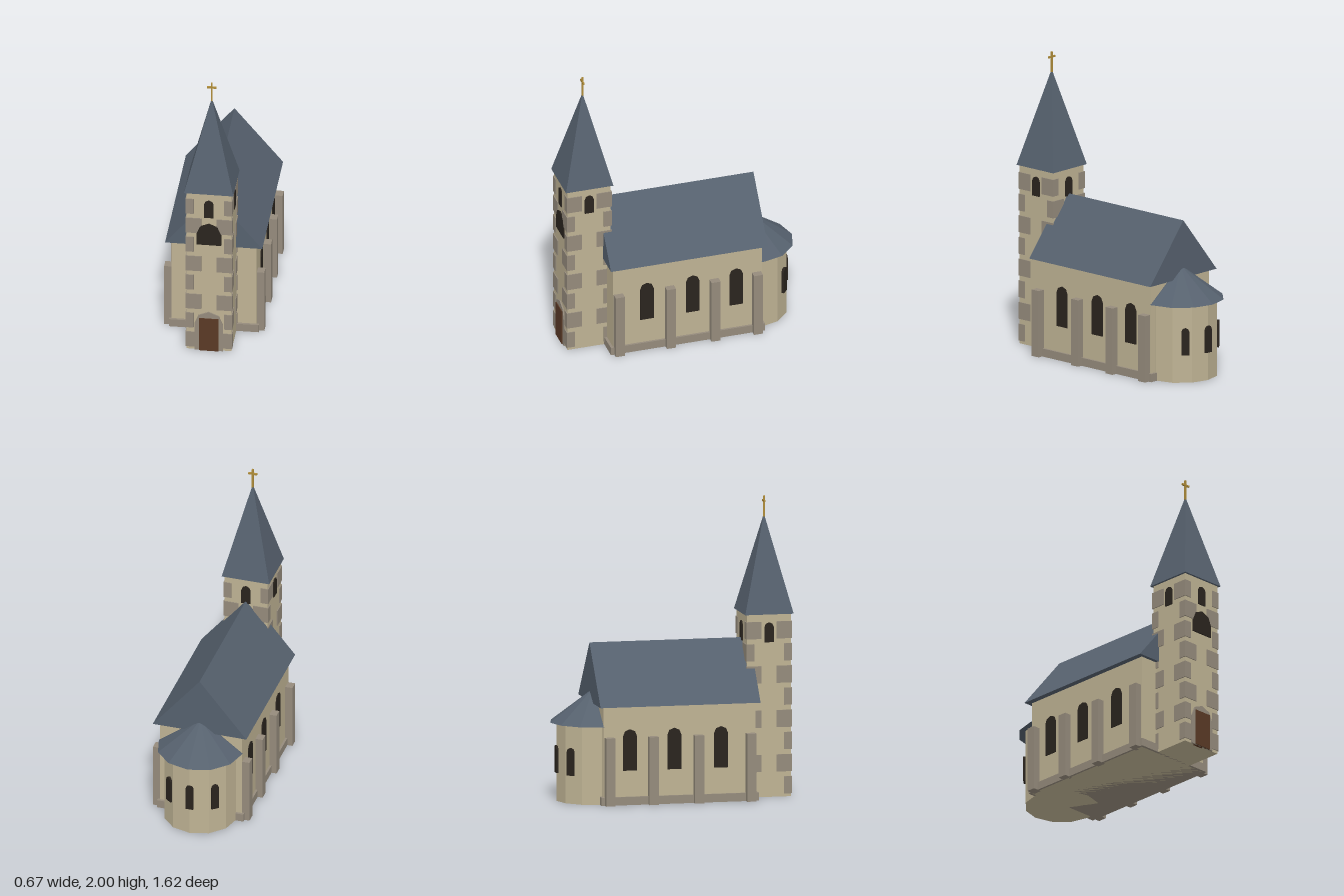
import * as THREE from 'three';

const mat = (color) => new THREE.MeshStandardMaterial({ color, flatShading: true });

export function createModel() {
  const church = new THREE.Group();
  church.name = 'church';
  const wall = mat(0xbfb394), stone = mat(0x958b7c), slate = mat(0x56616e);
  const dark = mat(0x2a241e), wood = mat(0x5a3a26), gold = mat(0xb08d3a);

  const add = (name, geometry, material, x = 0, y = 0, z = 0, parent = church) => {
    const mesh = new THREE.Mesh(geometry, material);
    mesh.name = name;
    mesh.position.set(x, y, z);
    parent.add(mesh);
    return mesh;
  };
  // Box that stands on height y
  const block = (name, material, w, h, d, x, y, z, parent) =>
    add(name, new THREE.BoxGeometry(w, h, d), material, x, y + h / 2, z, parent);

  // Round-topped panel standing on y = 0, centred in depth
  const archPanel = (width, height, depth) => {
    const r = width / 2, s = new THREE.Shape();
    s.moveTo(-r, 0);
    s.lineTo(r, 0);
    for (let i = 0; i <= 4; i++) {
      const a = (i / 4) * Math.PI;
      s.lineTo(r * Math.cos(a), height - r + r * Math.sin(a));
    }
    return new THREE.ExtrudeGeometry(s, { depth, bevelEnabled: false }).translate(0, 0, -depth / 2);
  };

  // Nave: walls, plinth and solid gabled roof
  block('naveWalls', wall, 0.57, 0.67, 1.035, 0, 0, 0.005);
  block('navePlinth', stone, 0.6, 0.055, 1.07, 0, 0, 0.005);
  const gable = new THREE.Shape([
    new THREE.Vector2(-0.325, 0.66), new THREE.Vector2(0.325, 0.66), new THREE.Vector2(0, 1.055)]);
  add('naveRoof', new THREE.ExtrudeGeometry(gable, { depth: 1.09, bevelEnabled: false }), slate, 0, 0, -0.543);

  // Buttresses and windows on both long sides
  for (const side of [1, -1]) {
    for (const z of [0.485, 0.13, -0.18, -0.475])
      block('buttress', stone, 0.065, 0.455, 0.063, side * 0.3025, 0, z);
    for (const z of [0.286, -0.032, -0.334])
      add('naveWindow', archPanel(0.095, 0.277, 0.03), dark, side * 0.276, 0.23, z).rotation.y = side * Math.PI / 2;
  }

  // Twelve-sided apse with a conical roof
  const apse = new THREE.Group();
  apse.name = 'apse';
  apse.position.z = -0.52;
  church.add(apse);
  add('apseWalls', new THREE.CylinderGeometry(0.247, 0.247, 0.53, 12), wall, 0, 0.265, 0, apse);
  add('apseRoof', new THREE.ConeGeometry(0.29, 0.22, 12), slate, 0, 0.635, 0, apse);
  for (const a of [-0.7, 0, 0.7]) {
    const r = 0.24;
    add('apseWindow', archPanel(0.053, 0.185, 0.03), dark,
      r * Math.sin(a), 0.19, -r * Math.cos(a), apse).rotation.y = Math.PI - a;
  }

  // Tower with alternating corner stones
  const tower = new THREE.Group();
  tower.name = 'tower';
  tower.position.z = 0.645;
  church.add(tower);
  block('towerWalls', wall, 0.3, 1.23, 0.3, 0, 0, 0, tower);
  for (let i = 0; i < 8; i++) {
    const w = i % 2 ? 0.055 : 0.105, d = i % 2 ? 0.105 : 0.055;
    for (const sx of [1, -1]) for (const sz of [1, -1])
      block('cornerStone', stone, w, 0.115, d,
        sx * (0.156 - w / 2), 0.02 + i * 0.1487, sz * (0.156 - d / 2), tower);
  }

  // Belfry windows on all four faces, large opening and door on the front
  for (let i = 0; i < 4; i++) {
    const a = i * Math.PI / 2;
    add('belfryWindow', archPanel(0.062, 0.133, 0.03), dark,
      0.143 * Math.sin(a), 1.038, 0.143 * Math.cos(a), tower).rotation.y = a;
  }
  add('frontOpening', archPanel(0.166, 0.165, 0.03), dark, 0, 0.825, 0.143, tower);
  add('doorSurround', archPanel(0.19, 0.298, 0.03), stone, 0, 0, 0.144, tower);
  block('door', wood, 0.13, 0.25, 0.03, 0, 0, 0.15, tower);

  // Spire and cross
  add('spire', new THREE.ConeGeometry(0.165 * Math.SQRT2, 0.655, 4).rotateY(Math.PI / 4),
    slate, 0, 1.5525, 0, tower);
  block('crossPost', gold, 0.011, 0.14, 0.011, 0, 1.86, 0, tower);
  block('crossBar', gold, 0.062, 0.012, 0.011, 0, 1.959, 0, tower);

  return church;
}
